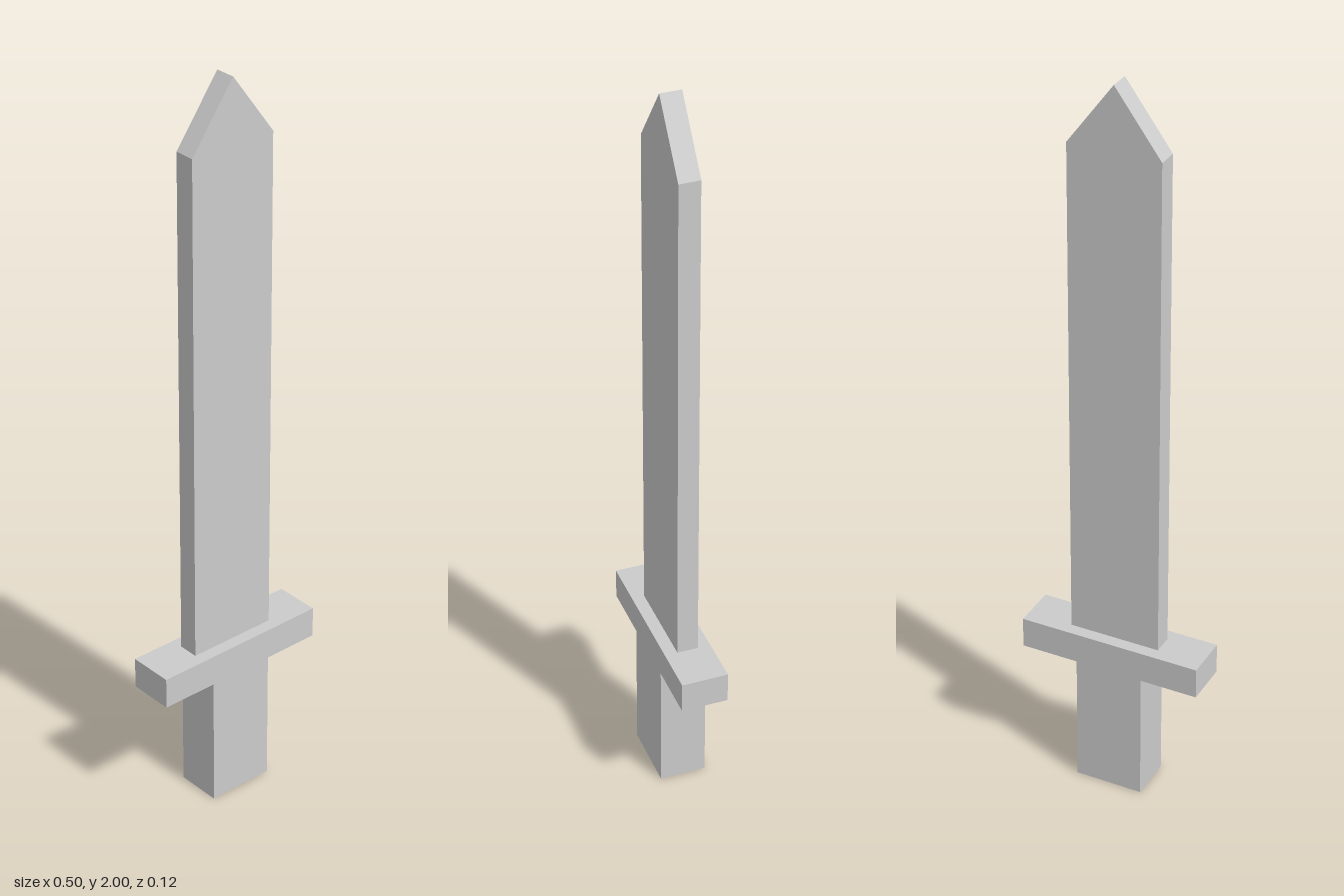
import * as THREE from 'three';

const material = new THREE.MeshStandardMaterial({ color: 0xcccccc, flatShading: true });

export function createModel() {
  const model = new THREE.Group();
  model.name = 'sword';

  const add = (name, geometry) => {
    const mesh = new THREE.Mesh(geometry, material);
    mesh.name = name;
    model.add(mesh);
  };

  // Box spanning bottom to top, centred on x and z
  const block = (width, bottom, top, depth) =>
    new THREE.BoxGeometry(width, top - bottom, depth).translate(0, (bottom + top) / 2, 0);

  const guardBottom = 0.365, guardTop = 0.45, hiltDepth = 0.124;

  // Grip and crossguard share the same depth
  add('grip', block(0.186, 0, guardBottom, hiltDepth));
  add('crossguard', block(0.5, guardBottom, guardTop, hiltDepth));

  // Flat blade with a pointed tip
  const halfWidth = 0.125, shoulder = 1.83, bladeDepth = 0.056;
  const outline = new THREE.Shape()
    .moveTo(-halfWidth, guardTop)
    .lineTo(halfWidth, guardTop)
    .lineTo(halfWidth, shoulder)
    .lineTo(0, 2)
    .lineTo(-halfWidth, shoulder)
    .closePath();
  add('blade', new THREE.ExtrudeGeometry(outline, { depth: bladeDepth, bevelEnabled: false })
    .translate(0, 0, -bladeDepth / 2));

  return model;
}
